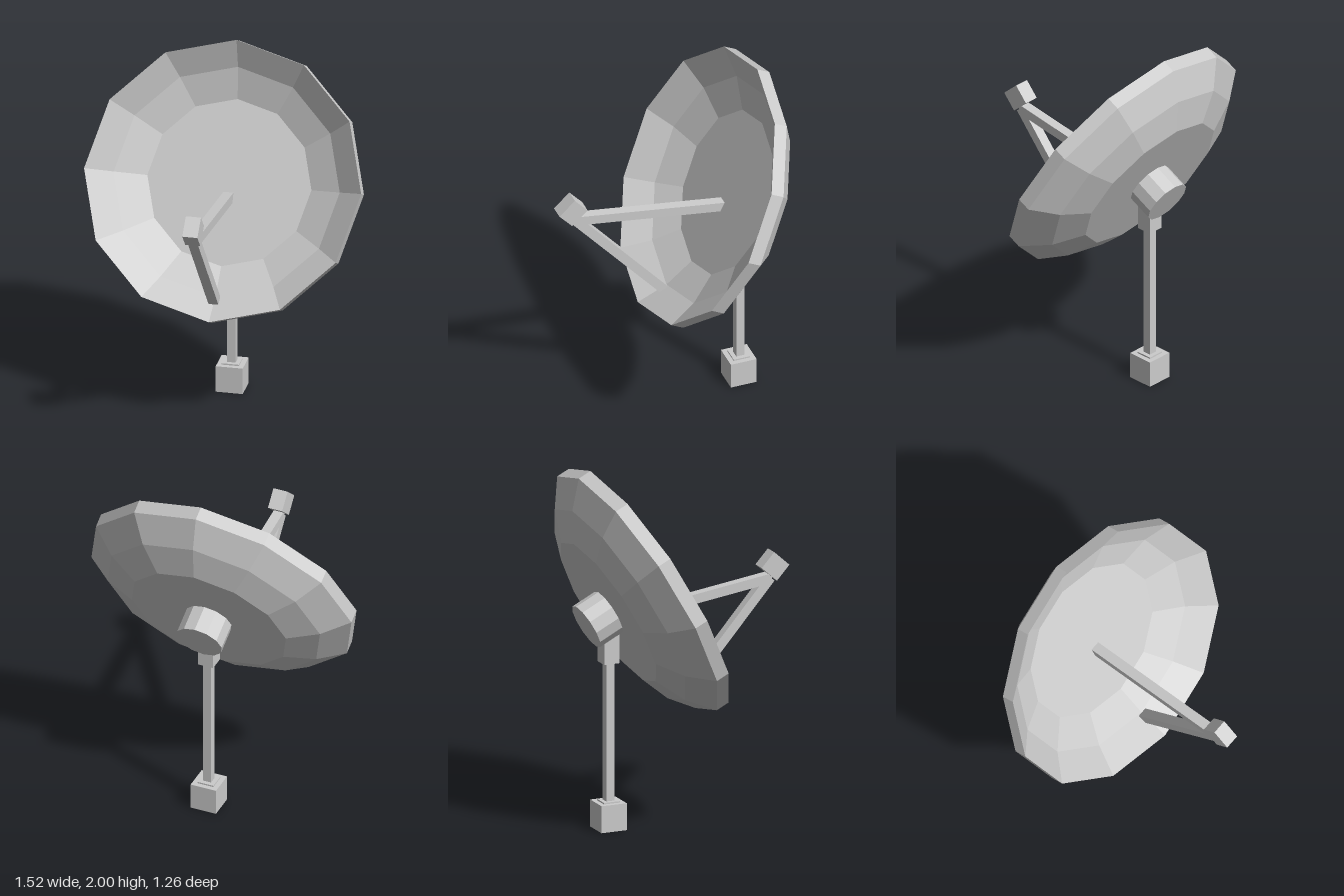
import * as THREE from 'three';

const material = new THREE.MeshStandardMaterial({ color: 0xcccccc, flatShading: true });

function add(parent, name, geometry, x = 0, y = 0, z = 0, tilt = 0) {
  const mesh = new THREE.Mesh(geometry, material);
  mesh.name = name;
  mesh.position.set(x, y, z);
  mesh.rotation.x = tilt;
  parent.add(mesh);
  return mesh;
}

const box = (w, h, d) => new THREE.BoxGeometry(w, h, d);

// Square bar between two points in the x = 0 plane, each given as [y, z]
function addBar(parent, name, [y0, z0], [y1, z1], width, thickness) {
  const dy = y1 - y0, dz = z1 - z0;
  add(parent, name, box(width, Math.hypot(dy, dz), thickness),
    0, (y0 + y1) / 2, (z0 + z1) / 2, Math.atan2(dz, dy));
}

export function createModel() {
  const model = new THREE.Group();
  model.name = 'satelliteDish';

  // Stand: square foot, collar, pole and bracket under the hub
  const standZ = -0.414;
  add(model, 'base', box(0.148, 0.15, 0.148), 0, 0.075, standZ);
  add(model, 'baseCollar', box(0.094, 0.008, 0.094), 0, 0.154, standZ);
  add(model, 'pole', box(0.047, 0.80, 0.047), 0, 0.54, standZ);
  add(model, 'bracket', box(0.09, 0.16, 0.09), 0, 1.005, standZ);

  // Tilted head: local +z is the dish axis, origin at the rim centre
  const head = new THREE.Group();
  head.name = 'head';
  head.position.set(0, 1.3225, -0.1775);
  head.rotation.x = -0.468;
  model.add(head);

  // Closed shell: outer back, rim, then the inner bowl
  const profile = [
    [0, -0.265], [0.45, -0.265], [0.62, -0.19], [0.76, -0.077],
    [0.76, 0], [0.62, -0.113], [0.45, -0.188], [0, -0.188],
  ].map(([r, d]) => new THREE.Vector2(r, d));
  add(head, 'dish', new THREE.LatheGeometry(profile, 12).rotateX(Math.PI / 2));

  // Hub on the back of the dish
  add(head, 'hub', new THREE.CylinderGeometry(0.132, 0.132, 0.161, 12).rotateX(Math.PI / 2), 0, 0, -0.3305);

  // Feed arms and receiver
  addBar(model, 'upperArm', [1.163, -0.335], [1.288, 0.535], 0.055, 0.053);
  addBar(model, 'lowerArm', [0.71, 0.025], [1.29, 0.53], 0.055, 0.053);
  add(model, 'receiver', box(0.083, 0.109, 0.12), 0, 1.355, 0.55, 0.735);

  return model;
}
